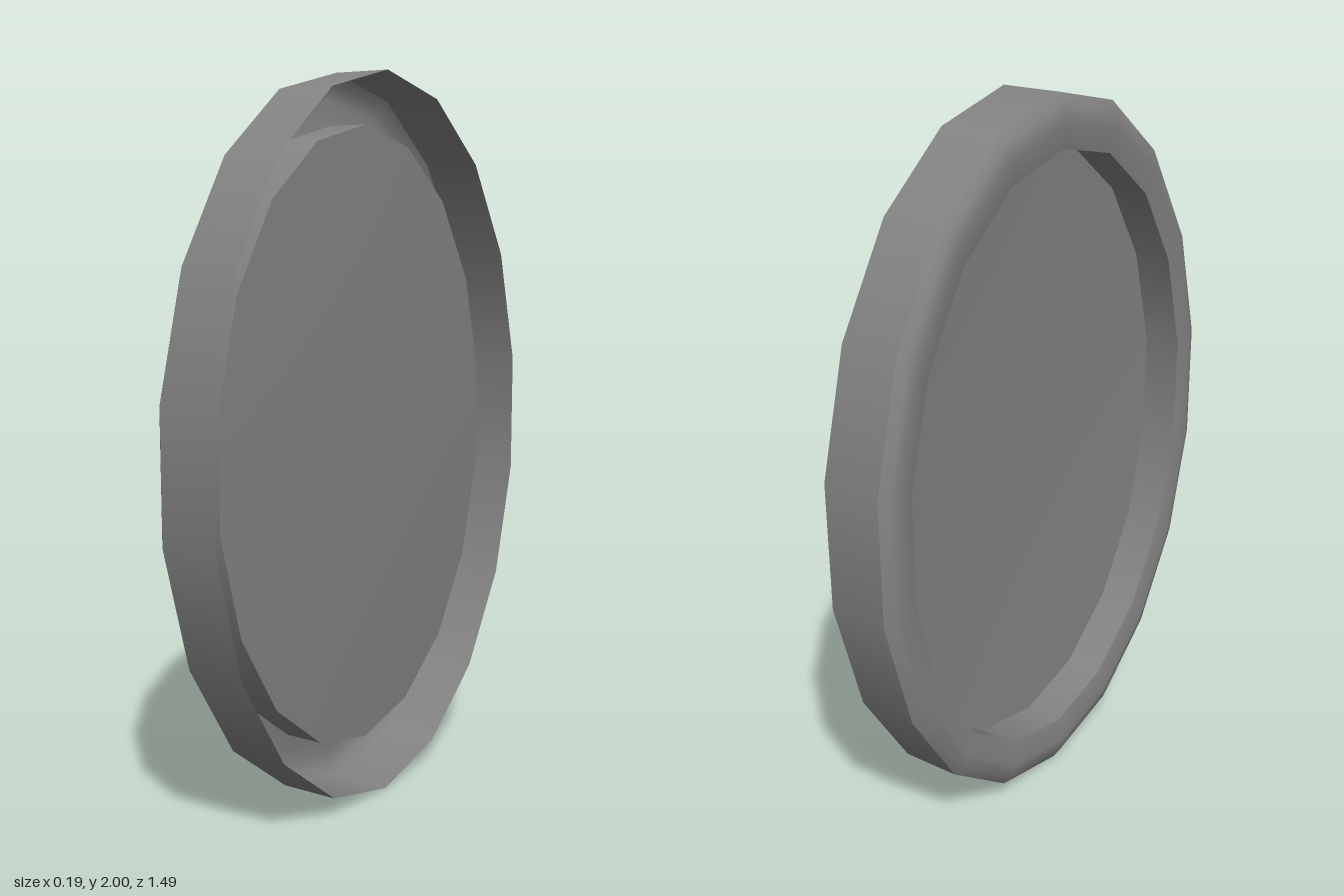
import * as THREE from 'three';

const SIDES = 18;
const DEPTH_RATIO = 0.757; // oval width relative to its height

// Turns a [radius, x] profile around the x axis into an oval band
function ovalBand(name, profile, material) {
  const points = profile.map(([r, x]) => new THREE.Vector2(r, x));
  const geometry = new THREE.LatheGeometry(points, SIDES);
  const lay = new THREE.Matrix4().makeBasis(
    new THREE.Vector3(0, 0, 1), new THREE.Vector3(1, 0, 0), new THREE.Vector3(0, 1, 0));
  geometry.applyMatrix4(lay);
  geometry.scale(1, 1, DEPTH_RATIO);
  geometry.translate(0, 1, 0);
  const mesh = new THREE.Mesh(geometry, material);
  mesh.name = name;
  return mesh;
}

export function createModel() {
  const group = new THREE.Group();
  group.name = 'ovalFrame';
  const material = new THREE.MeshStandardMaterial({ color: 0x848484, side: THREE.DoubleSide });

  // Separate bands keep the creases between them sharp
  const bands = {
    // recessed pane, slightly bowed
    pane: [[0, 0.046], [0.3, 0.043], [0.6, 0.036], [0.86, 0.025]],
    // straight wall from the pane out to the rim
    innerWall: [[0.86, 0.025], [0.86, -0.085]],
    // softly rounded rim: sloped lip, crest and outer bevel
    rim: [[0.86, -0.085], [0.93, -0.097], [0.972, -0.087], [1, -0.068]],
    // outer wall, open on the far side
    outerWall: [[1, -0.068], [1, 0.097]],
  };
  for (const [name, profile] of Object.entries(bands)) {
    group.add(ovalBand(name, profile, material));
  }
  return group;
}
